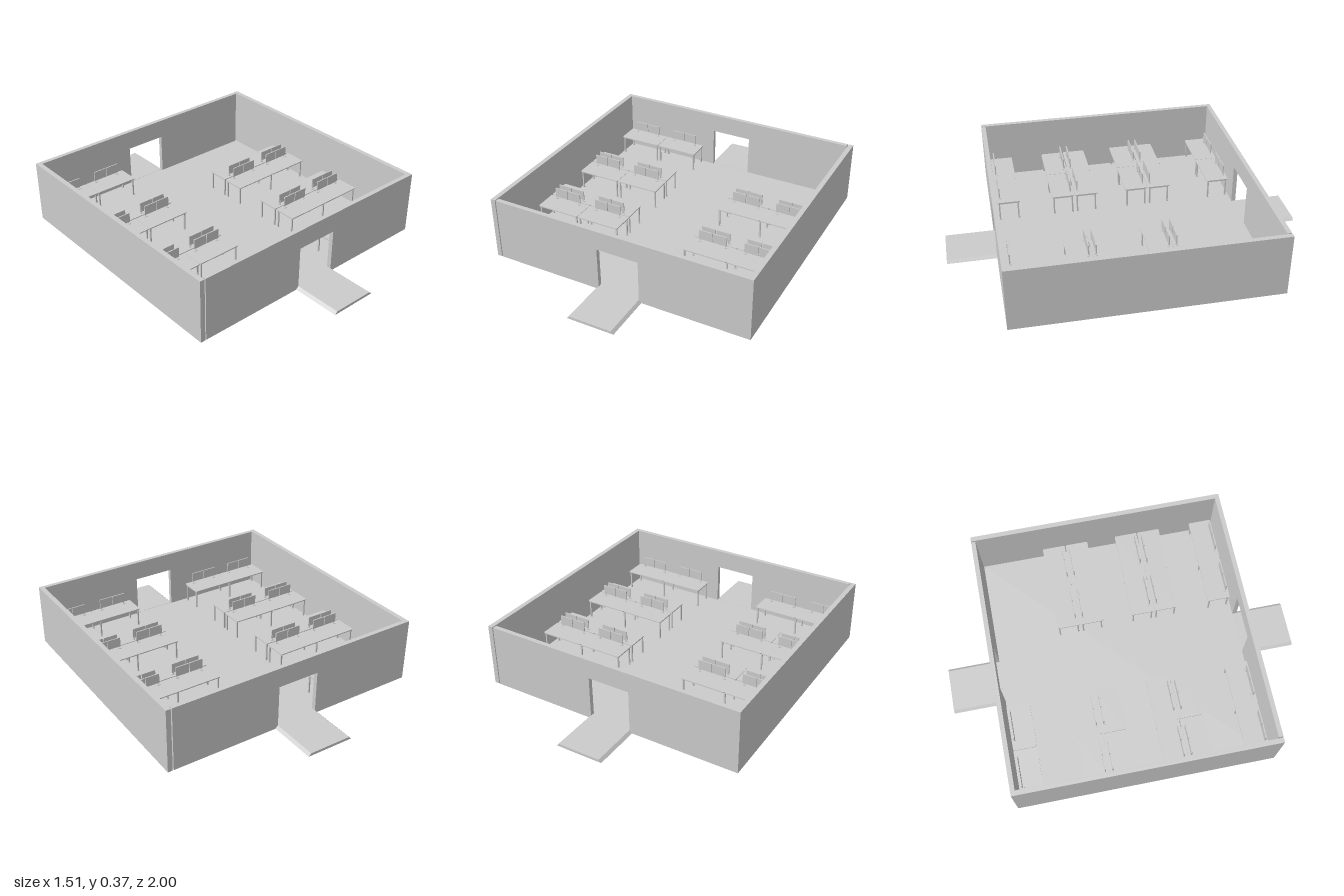
import * as THREE from 'three';

const grey = new THREE.MeshStandardMaterial({ color: 0xcccccc, flatShading: true });
const FLOOR = 0.025, DESK = 0.14;

function add(parent, name, geometry, x = 0, y = 0, z = 0) {
  const mesh = new THREE.Mesh(geometry, grey);
  mesh.name = name;
  mesh.position.set(x, y, z);
  parent.add(mesh);
  return mesh;
}
// Box given by its limits on each axis
function block(parent, name, x0, x1, y0, y1, z0, z1) {
  return add(parent, name, new THREE.BoxGeometry(x1 - x0, y1 - y0, z1 - z0),
    (x0 + x1) / 2, (y0 + y1) / 2, (z0 + z1) / 2);
}
function polygon(points) {
  return new THREE.Shape(points.map(([x, y]) => new THREE.Vector2(x, y)));
}

// Wall with a doorway, plus the landing with sloped sides outside it
function doorSide(name) {
  const side = new THREE.Group();
  side.name = name;
  const wall = polygon([[-0.722, 0.01], [0.74, 0.01], [0.74, 0.37], [-0.722, 0.37]]);
  wall.holes.push(polygon([[-0.105, 0.025], [-0.105, 0.26], [0.135, 0.26], [0.135, 0.025]]));
  add(side, 'doorWall', new THREE.ExtrudeGeometry(wall, { depth: 0.025, bevelEnabled: false }), 0, 0, 0.702);
  const ramp = polygon([[-0.12, 0.011], [0.15, 0.011], [0.135, 0.026], [-0.105, 0.026]]);
  add(side, 'landing', new THREE.ExtrudeGeometry(ramp, { depth: 0.29, bevelEnabled: false }), 0, 0, 0.71);
  return side;
}

// Table top with rounded corners and, on wide tables, cable notches mid-edge
function tableTop(w, d, notched) {
  const s = new THREE.Shape(), r = 0.008, a = w / 2, b = d / 2, n = 0.006;
  s.moveTo(-a + r, -b);
  if (notched) { s.lineTo(-n, -b); s.lineTo(0, -b + n); s.lineTo(n, -b); }
  s.lineTo(a - r, -b); s.quadraticCurveTo(a, -b, a, -b + r);
  s.lineTo(a, b - r); s.quadraticCurveTo(a, b, a - r, b);
  if (notched) { s.lineTo(n, b); s.lineTo(0, b - n); s.lineTo(-n, b); }
  s.lineTo(-a + r, b); s.quadraticCurveTo(-a, b, -a, b - r);
  s.lineTo(-a, -b + r); s.quadraticCurveTo(-a, -b, -a + r, -b);
  return new THREE.ExtrudeGeometry(s, { depth: 0.006, bevelEnabled: false, curveSegments: 4 })
    .rotateX(-Math.PI / 2);
}

// Two screens side by side on posts with small oval feet
function screenPair(x, z) {
  const pair = new THREE.Group();
  pair.name = 'screenPair';
  for (const s of [-1, 1]) {
    add(pair, 'screen', new THREE.BoxGeometry(0.08, 0.056, 0.006), s * 0.042, DESK + 0.04, 0);
    const foot = add(pair, 'screenFoot', new THREE.CylinderGeometry(0.007, 0.007, 0.003, 10), s * 0.075, DESK + 0.0015, 0.003);
    foot.scale.x = 1.5;
    add(pair, 'screenPost', new THREE.CylinderGeometry(0.0025, 0.0025, 0.03, 6), s * 0.075, DESK + 0.015, -0.002);
  }
  pair.position.set(x, 0, z);
  return pair;
}

// A bench of two workplaces, back edge at local z = 0 and seats toward +z
function bench(split) {
  const g = new THREE.Group();
  g.name = 'deskRow';
  const depth = 0.132, half = 0.26;
  for (const x of split ? [-half / 2, half / 2] : [0]) {
    add(g, 'tableTop', tableTop((split ? half : 2 * half) - 0.002, depth, !split), x, DESK - 0.006, depth / 2);
  }
  const legs = split ? [-0.25, -0.012, 0.012, 0.25] : [-0.25, 0, 0.25];
  for (const x of legs) {
    for (const z of [0.012, depth - 0.012]) {
      block(g, 'leg', x - 0.004, x + 0.004, FLOOR, DESK - 0.006, z - 0.004, z + 0.004);
      add(g, 'legFoot', new THREE.CylinderGeometry(0.007, 0.007, 0.004, 8), x, FLOOR + 0.002, z);
    }
    block(g, 'crossRail', x - 0.003, x + 0.003, DESK - 0.014, DESK - 0.006, 0.012, depth - 0.012);
  }
  for (const z of [0.014, depth - 0.014]) {
    block(g, 'longRail', -0.25, 0.25, DESK - 0.013, DESK - 0.006, z - 0.003, z + 0.003);
  }
  for (const x of [-0.133, 0.133]) g.add(screenPair(x, 0.018));
  return g;
}

export function createModel() {
  const model = new THREE.Group();
  model.name = 'office';

  // Shell: floor slab, side walls and the two doorway walls
  block(model, 'floor', -0.735, 0.735, 0, FLOOR, -0.708, 0.708);
  for (const s of [-1, 1]) {
    add(model, s > 0 ? 'leftWall' : 'rightWall', new THREE.BoxGeometry(0.027, 0.36, 1.454), s * 0.7415, 0.19, 0);
  }
  model.add(doorSide('frontSide'));
  const back = doorSide('backSide');
  back.rotation.y = Math.PI;
  model.add(back);

  // Desk rows: [back edge z, facing]
  const rows = [[-0.695, 1], [-0.196, 1], [0.24, 1], [-0.202, -1], [0.235, -1], [0.69, -1]];
  for (const x of [-0.464, 0.456]) {
    rows.forEach(([z, facing], i) => {
      if (x > 0 && i === 0) return; // this corner stays empty
      const row = bench(x < 0 && facing > 0);
      row.position.set(x, 0, z);
      if (facing < 0) row.rotation.y = Math.PI;
      model.add(row);
    });
  }
  return model;
}
